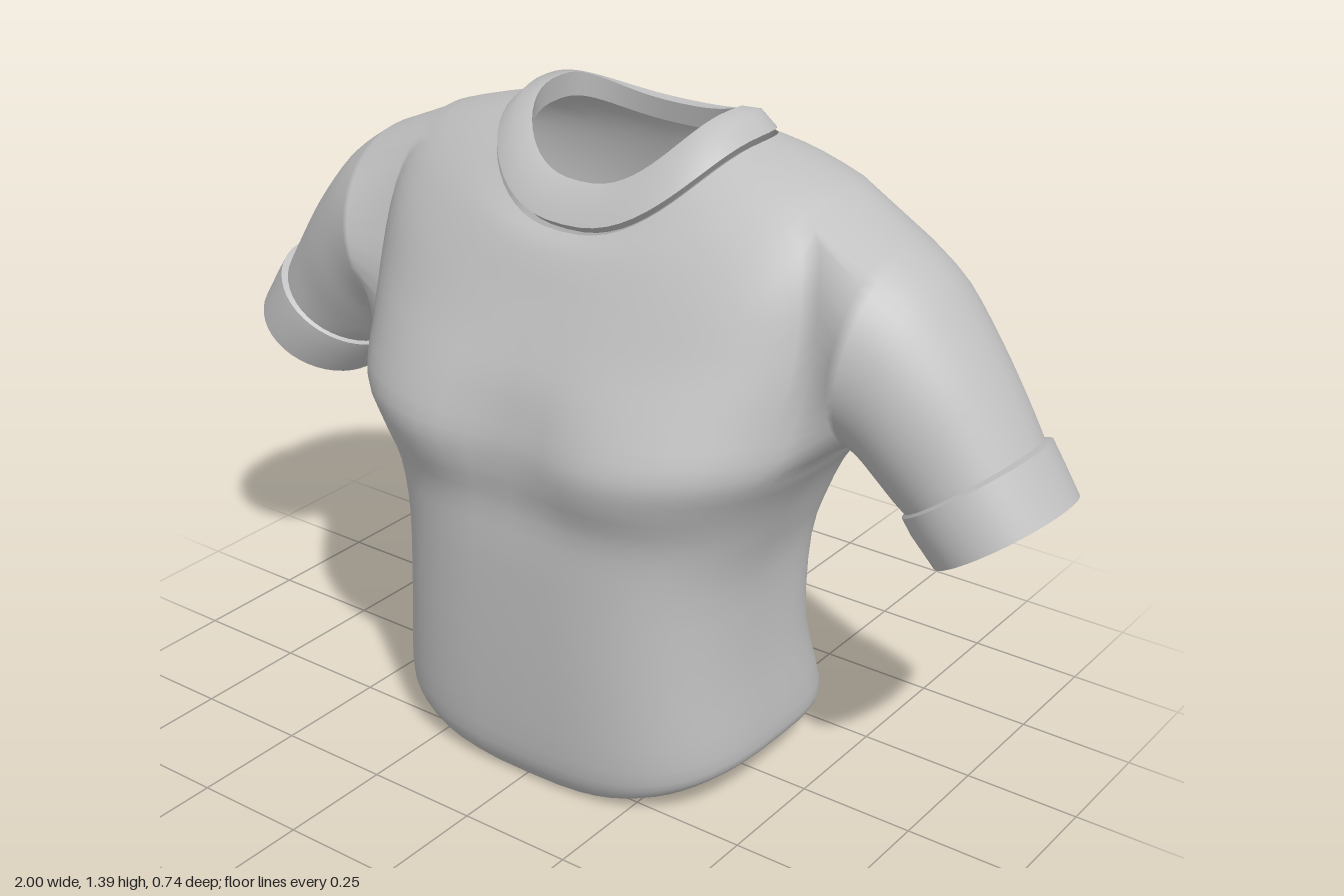
import * as THREE from 'three';
import { toCreasedNormals } from 'three/addons/utils/BufferGeometryUtils.js';

const HALF = 32, COLS = HALF * 2, SUB = 3;   // columns around the body, steps between rows
const HOLE = { c0: 12, c1: 22, r0: 7 * SUB, r1: 11 * SUB };   // armhole patch in the body grid

// Body rows: front y, side y, back y, half width, front z, side z, back z, roundness
const BODY = [
  [0.00, 0.07, 0.035, 0.385, 0.300, -0.03, -0.298, 0.66],
  [0.03, 0.09, 0.055, 0.422, 0.322, -0.03, -0.316, 0.65],
  [0.10, 0.14, 0.11, 0.430, 0.338, -0.03, -0.322, 0.63],
  [0.30, 0.31, 0.30, 0.413, 0.346, -0.02, -0.264, 0.63],
  [0.50, 0.50, 0.50, 0.413, 0.348, -0.02, -0.288, 0.65],
  [0.63, 0.62, 0.63, 0.445, 0.352, -0.03, -0.320, 0.68],
  [0.72, 0.71, 0.73, 0.485, 0.386, -0.04, -0.345, 0.72],
  [0.79, 0.80, 0.81, 0.540, 0.392, -0.05, -0.365, 0.75],
  [0.88, 0.90, 0.90, 0.560, 0.352, -0.06, -0.378, 0.80],
  [0.97, 1.03, 1.00, 0.570, 0.295, -0.07, -0.384, 0.82],
  [1.05, 1.17, 1.10, 0.560, 0.250, -0.08, -0.380, 0.86],
  [1.11, 1.268, 1.19, 0.525, 0.220, -0.10, -0.365, 0.95],
  [1.15, 1.315, 1.26, 0.400, 0.195, -0.10, -0.335, 0.90],
  [1.175, 1.342, 1.30, 0.283, 0.168, -0.10, -0.285, 0.82],
];
const COLLAR = [
  [1.175, 1.335, 1.290, 0.270, 0.150, -0.10, -0.268, 0.82],
  [1.190, 1.354, 1.312, 0.282, 0.168, -0.10, -0.276, 0.82],
  [1.235, 1.388, 1.336, 0.245, 0.143, -0.10, -0.264, 0.82],
  [1.262, 1.392, 1.336, 0.207, 0.110, -0.10, -0.232, 0.80],
  [1.235, 1.340, 1.290, 0.213, 0.115, -0.10, -0.240, 0.80],
];
// Sleeve rings: top x, top y, bottom x, bottom y, front z, back z
const SLEEVE = [
  [0.620, 1.228, 0.575, 0.805, 0.145, -0.285],
  [0.710, 1.165, 0.605, 0.785, 0.130, -0.270],
  [0.800, 1.060, 0.640, 0.750, 0.115, -0.250],
  [0.870, 0.960, 0.665, 0.722, 0.100, -0.236],
  [0.922, 0.875, 0.690, 0.705, 0.092, -0.225],
];
const CUFF = [
  [0.915, 0.880, 0.692, 0.712, 0.088, -0.220],
  [0.936, 0.884, 0.684, 0.698, 0.101, -0.233],
  [0.962, 0.842, 0.705, 0.672, 0.104, -0.236],
  [1.000, 0.782, 0.760, 0.615, 0.100, -0.232],
  [0.986, 0.772, 0.774, 0.626, 0.086, -0.218],
  [0.900, 0.850, 0.712, 0.722, 0.080, -0.210],
];

// Smooth in-between rows
function refine(rows) {
  const out = [], at = i => rows[Math.max(0, Math.min(rows.length - 1, i))];
  for (let i = 0; i < rows.length - 1; i++) for (let s = 0; s < SUB; s++) {
    const t = s / SUB;
    out.push(rows[i].map((b, k) => {
      const a = at(i - 1)[k], c = at(i + 1)[k], d = at(i + 2)[k];
      return b + 0.5 * t * (c - a + t * (2 * a - 5 * b + 4 * c - d + t * (3 * (b - c) + d - a)));
    }));
  }
  out.push(rows[rows.length - 1]);
  return out;
}

// Point on a ring around the body; angle runs front, left side, back
function bodyPoint([yF, yS, yB, w, zF, zS, zB, e], j, shaped) {
  const t = j / COLS * Math.PI * 2, s = Math.sin(t), c = Math.cos(t);
  const x = w * Math.sign(s) * Math.abs(s) ** e;
  const y = yS + ((c > 0 ? yF : yB) - yS) * c * c;
  let z = zS + ((c > 0 ? zF : zB) - zS) * Math.abs(c) ** e;
  if (shaped) {   // hollow between the chest halves and along the spine
    const mid = Math.exp(-((x / 0.14) ** 2));
    z += c > 0 ? -0.05 * mid * Math.exp(-(((y - 0.78) / 0.13) ** 2))
      : -c * 0.055 * mid * Math.exp(-(((y - 0.97) / 0.3) ** 2));
  }
  return [x, y, z];
}

// Point on a ring around an arm; angle runs top, back, bottom, front
function armPoint([tx, ty, bx, by, zF, zB], a, side) {
  const c = Math.cos(a) / 2;
  return [side * ((tx + bx) / 2 + (tx - bx) * c), (ty + by) / 2 + (ty - by) * c,
    (zF + zB) / 2 - (zF - zB) / 2 * Math.sin(a)];
}

function quad(index, a, b, c, d, flip) {
  if (flip) index.push(a, d, c, a, c, b);
  else index.push(a, b, c, a, c, d);
}

function toGeometry(points, index) {
  const g = new THREE.BufferGeometry();
  g.setAttribute('position', new THREE.Float32BufferAttribute(points.flat(), 3));
  g.setIndex(index);
  g.computeVertexNormals();
  return g;
}

// Closed rings joined into a band
function band(rings, flip) {
  const n = rings[0].length, index = [];
  for (let r = 0; r < rings.length - 1; r++) for (let k = 0; k < n; k++) {
    const m = (k + 1) % n;
    quad(index, r * n + k, r * n + m, (r + 1) * n + m, (r + 1) * n + k, flip);
  }
  return toCreasedNormals(toGeometry(rings.flat(), index), 0.7);
}

// Body with two armholes, and sleeves growing from the armhole edges
function shirtGeometry() {
  const rows = refine(BODY), points = [], index = [];
  const { c0, c1, r0, r1 } = HOLE;
  rows.forEach(row => { for (let j = 0; j < COLS; j++) points.push(bodyPoint(row, j, true)); });
  const id = (r, j) => r * COLS + (j + COLS) % COLS;
  for (let r = 0; r < rows.length - 1; r++) for (let j = 0; j < COLS; j++) {
    const fold = j < HALF ? j : COLS - 1 - j;
    if (r >= r0 && r < r1 && fold >= c0 && fold < c1) continue;
    quad(index, id(r, j), id(r, j + 1), id(r + 1, j + 1), id(r + 1, j));
  }
  for (const side of [1, -1]) {
    let prev = [];
    const add = (r, j) => prev.push(id(r, side * j));
    for (let j = c0; j < c1; j++) add(r1, j);
    for (let r = r1; r > r0; r--) add(r, c1);
    for (let j = c1; j > c0; j--) add(r0, j);
    for (let r = r0; r < r1; r++) add(r, c0);
    const n = prev.length;
    for (const ring of refine(SLEEVE)) {
      const next = prev.map((_, k) =>
        points.push(armPoint(ring, (k - (c1 - c0) / 2) / n * Math.PI * 2, side)) - 1);
      for (let k = 0; k < n; k++) {
        const m = (k + 1) % n;
        quad(index, prev[k], prev[m], next[m], next[k], side > 0);
      }
      prev = next;
    }
  }
  return toGeometry(points, index);
}

export function createModel() {
  const group = new THREE.Group();
  const fabric = new THREE.MeshStandardMaterial({ color: 0xc0c0c0, side: THREE.DoubleSide });
  fabric.name = 'grey fabric';
  const add = (name, geometry) => {
    const mesh = new THREE.Mesh(geometry, fabric);
    mesh.name = name;
    group.add(mesh);
  };

  add('bodyAndSleeves', shirtGeometry());

  // Neck band
  add('collar', band(COLLAR.map(row =>
    Array.from({ length: COLS }, (_, j) => bodyPoint(row, j, false))), false));

  // Sleeve cuffs, folded inward at the opening
  for (const side of [1, -1]) {
    add(side > 0 ? 'leftCuff' : 'rightCuff', band(CUFF.map(row =>
      Array.from({ length: 44 }, (_, k) => armPoint(row, k / 44 * Math.PI * 2, side))), side > 0));
  }
  return group;
}
